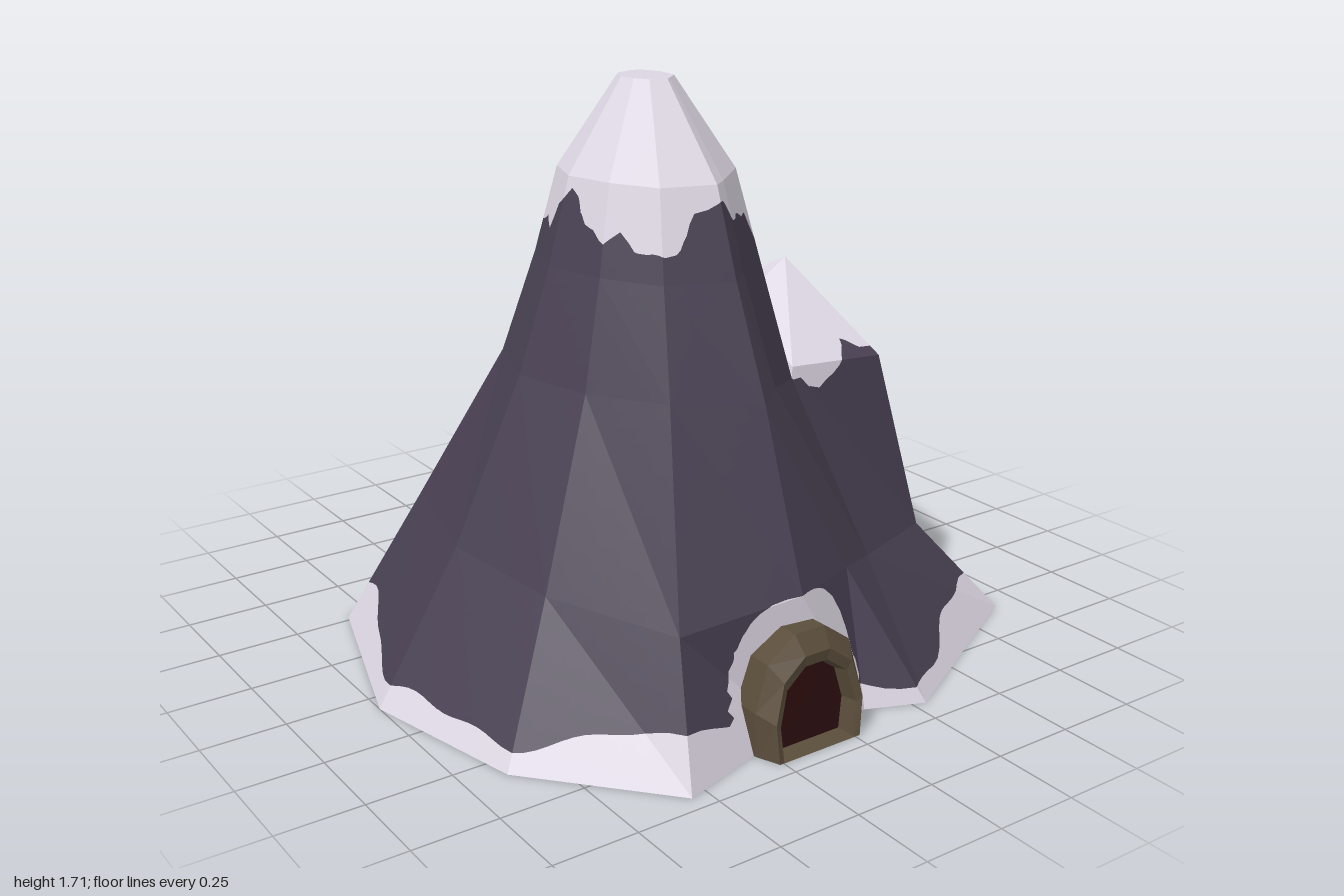
import * as THREE from 'three';

const mat = (name, color, side = THREE.FrontSide) => {
  const m = new THREE.MeshStandardMaterial({ color, side });
  m.name = name;
  return m;
};
const V = (x, y, z) => new THREE.Vector3(x, y, z);
const triples = (list) => list.map((p) => V(...p));

// Flat-shaded mesh from a list of [a, b, c] triangles
function facetMesh(name, tris, material) {
  const geo = new THREE.BufferGeometry().setFromPoints(tris.flat());
  geo.computeVertexNormals();
  const mesh = new THREE.Mesh(geo, material);
  mesh.name = name;
  return mesh;
}

// Triangles between successive closed rings, skipping collapsed ones
function loft(rings) {
  const out = [];
  const add = (a, b, c) => {
    if (a.distanceTo(b) > 1e-5 && b.distanceTo(c) > 1e-5 && a.distanceTo(c) > 1e-5) out.push([a, b, c]);
  };
  for (let k = 0; k + 1 < rings.length; k++) {
    const low = rings[k], up = rings[k + 1], n = low.length;
    for (let i = 0; i < n; i++) {
      const j = (i + 1) % n;
      add(low[i], low[j], up[i]);
      add(low[j], up[j], up[i]);
    }
  }
  return out;
}

// Fan filling a ring, facing the side from which it runs anticlockwise
function fan(ring, centre) {
  return ring.map((p, i) => [centre, p, ring[(i + 1) % ring.length]]);
}

// Cut triangles small, then split them along the line where field(p) = 0
function splitByField(tris, field) {
  const parts = { snow: [], rock: [] };
  const clip = (tri, sign, target) => {
    const poly = [];
    tri.forEach((p, i) => {
      const q = tri[(i + 1) % 3], fp = field(p) * sign, fq = field(q) * sign;
      if (fp >= 0) poly.push(p);
      if (fp * fq < 0) poly.push(p.clone().lerp(q, fp / (fp - fq)));
    });
    for (let i = 1; i + 1 < poly.length; i++) target.push([poly[0], poly[i], poly[i + 1]]);
  };
  const cut = ([a, b, c]) => {
    const d = [a.distanceTo(b), b.distanceTo(c), c.distanceTo(a)];
    const longest = Math.max(...d);
    if (longest < 0.06) {
      clip([a, b, c], 1, parts.snow);
      clip([a, b, c], -1, parts.rock);
      return;
    }
    const turn = d.indexOf(longest);
    const [p, q, r] = [[a, b, c], [b, c, a], [c, a, b]][turn];
    const m = p.clone().lerp(q, 0.5);
    cut([p, m, r]);
    cut([m, q, r]);
  };
  tris.forEach(cut);
  return parts;
}

// Ragged snow edges
const ragged = (a, s) => 0.55 * Math.sin(4 * a + s) + 0.3 * Math.sin(9 * a + 2 * s) + 0.15 * Math.sin(21 * a);
const footSnow = (p) => {
  const a = Math.atan2(p.x, p.z);
  return 0.085 + 0.06 * ragged(a, 3.6) - p.y;
};
const caveSnow = (p) => (p.z < 0.6 ? -1 : 1 - Math.abs((p.x + 0.11) / 0.22) ** 3 - Math.abs(p.y / 0.4) ** 3);
const capSnow = (cx, cz, y, amount, s) => (p) => p.y - y - amount * ragged(Math.atan2(p.x - cx, p.z - cz), s);

export function createModel() {
  const group = new THREE.Group();
  group.name = 'snowyMountain';
  const rock = mat('rock', 0x484052);
  const snow = mat('snow', 0xdcd6e2);
  const stone = mat('caveStone', 0x5a4d3b);
  const dark = mat('caveDark', 0x2c0d0f);

  const addMound = (name, tris, field) => {
    const parts = splitByField(tris, field);
    group.add(facetMesh(name + 'Rock', parts.rock, rock), facetMesh(name + 'Snow', parts.snow, snow));
  };

  // Main mountain: foot, shoulder and waist rings, from the front round by +x
  const foot = triples([
    [-0.55, 0, 0.95], [-0.12, 0, 0.82], [0.12, 0, 0.85], [0.29, 0, 0.92], [0.91, 0, 0.58],
    [1, 0, -0.12], [0.74, 0, -0.49], [0.43, 0, -0.58], [0.32, 0, -0.8], [-0.18, 0, -0.95],
    [-0.5, 0, -0.68], [-0.82, 0, -0.52], [-1, 0, 0.07], [-0.88, 0, 0.58],
  ]);
  const shoulder = triples([
    [-0.47, 0.36, 0.78], [-0.1, 0.4, 0.83], [0.15, 0.38, 0.72], [0.3, 0.35, 0.64], [0.7, 0.28, 0.42],
    [0.72, 0.33, 0.02], [0.6, 0.3, -0.35], [0.35, 0.38, -0.52], [0.25, 0.38, -0.62], [-0.12, 0.38, -0.66],
    [-0.42, 0.38, -0.56], [-0.62, 0.42, -0.38], [-0.74, 0.43, 0.07], [-0.67, 0.4, 0.44],
  ]);
  const waist = triples([
    [-0.34, 0.91, 0.55], [-0.08, 0.88, 0.63], [0, 0.9, 0.57], [0.23, 0.83, 0.36], [0.26, 0.8, 0.2],
    [0.27, 0.85, -0.05], [0.2, 0.8, -0.28], [0.1, 0.75, -0.41], [0.03, 0.88, -0.4], [-0.08, 0.9, -0.4],
    [-0.3, 0.9, -0.32], [-0.43, 0.9, -0.18], [-0.52, 0.9, 0.07], [-0.46, 0.9, 0.32],
  ]);
  // The upper rings shrink the waist towards the summit axis
  const upper = [[0.76, 1.2], [0.6, 1.45], [0.19, 1.71]].map(([k, y]) =>
    waist.map((p) => V(-0.09 + (p.x + 0.09) * k, y, 0.07 + (p.z - 0.07) * k)));
  const summitSnow = capSnow(-0.09, 0.07, 1.33, 0.1, 1.2);
  addMound('mainPeak',
    [...loft([foot, shoulder, waist, ...upper]), ...fan(upper[2], V(-0.09, 1.71, 0.07))],
    (p) => Math.max(footSnow(p), caveSnow(p), summitSnow(p)));

  // Underside with a snowy rim
  const inner = foot.map((p) => p.clone().multiplyScalar(0.92));
  group.add(facetMesh('undersideRim', loft([inner, foot]), snow));
  group.add(facetMesh('underside', fan([...inner].reverse(), V(0, 0, 0)), rock));

  // Side peaks: base ring, shoulder ring and apex
  const sidePeak = (name, base, mid, apex, field) => {
    const ring = triples(mid);
    addMound(name, loft([triples(base), ring, ring.map(() => V(...apex))]), field);
  };
  sidePeak('middlePeak',
    [[0.23, 0.82, 0.36], [0.7, 0.28, 0.42], [0.72, 0.33, 0.02], [0.58, 0.3, -0.22], [0.1, 0.75, -0.41], [0.2, 0.7, 0.05]],
    [[0.24, 0.86, 0.35], [0.55, 0.85, 0.38], [0.63, 0.87, 0.03], [0.5, 0.9, -0.18], [0.29, 0.95, -0.18], [0.27, 0.99, 0.06]],
    [0.43, 1.11, 0.07], capSnow(0.43, 0.07, 0.84, 0.08, 0.4));
  sidePeak('smallPeak',
    [[0.62, 0.1, 0], [1, 0, -0.12], [0.74, 0, -0.49], [0.43, 0, -0.58], [0.4, 0.1, -0.2]],
    [[0.66, 0.36, -0.05], [0.83, 0.34, -0.14], [0.76, 0.36, -0.43], [0.47, 0.36, -0.43], [0.46, 0.38, -0.2]],
    [0.64, 0.53, -0.23],
    (p) => Math.max(footSnow(p), capSnow(0.64, -0.23, 0.31, 0.06, 2)(p)));

  // Cave mouth: a stone arch that tapers forward, then turns inward
  const arch = [[0.155, 0], [0.175, 0.13], [0.14, 0.26], [0.05, 0.325], [-0.05, 0.325], [-0.14, 0.26], [-0.18, 0.13], [-0.175, 0]];
  const archRing = (k, z, lean = 0) => arch.map(([x, y]) => V(-0.115 + x * k, y * k, z - y * lean));
  const hole = archRing(0.7, 0.885, 0.05);
  group.add(facetMesh('caveArch',
    loft([archRing(1, 0.7), archRing(1, 0.88), archRing(0.84, 0.95, 0.1), archRing(0.74, 0.945, 0.1), hole]), stone));
  group.add(facetMesh('caveOpening', fan(hole, V(-0.115, 0.1, 0.88)), dark));

  return group;
}
